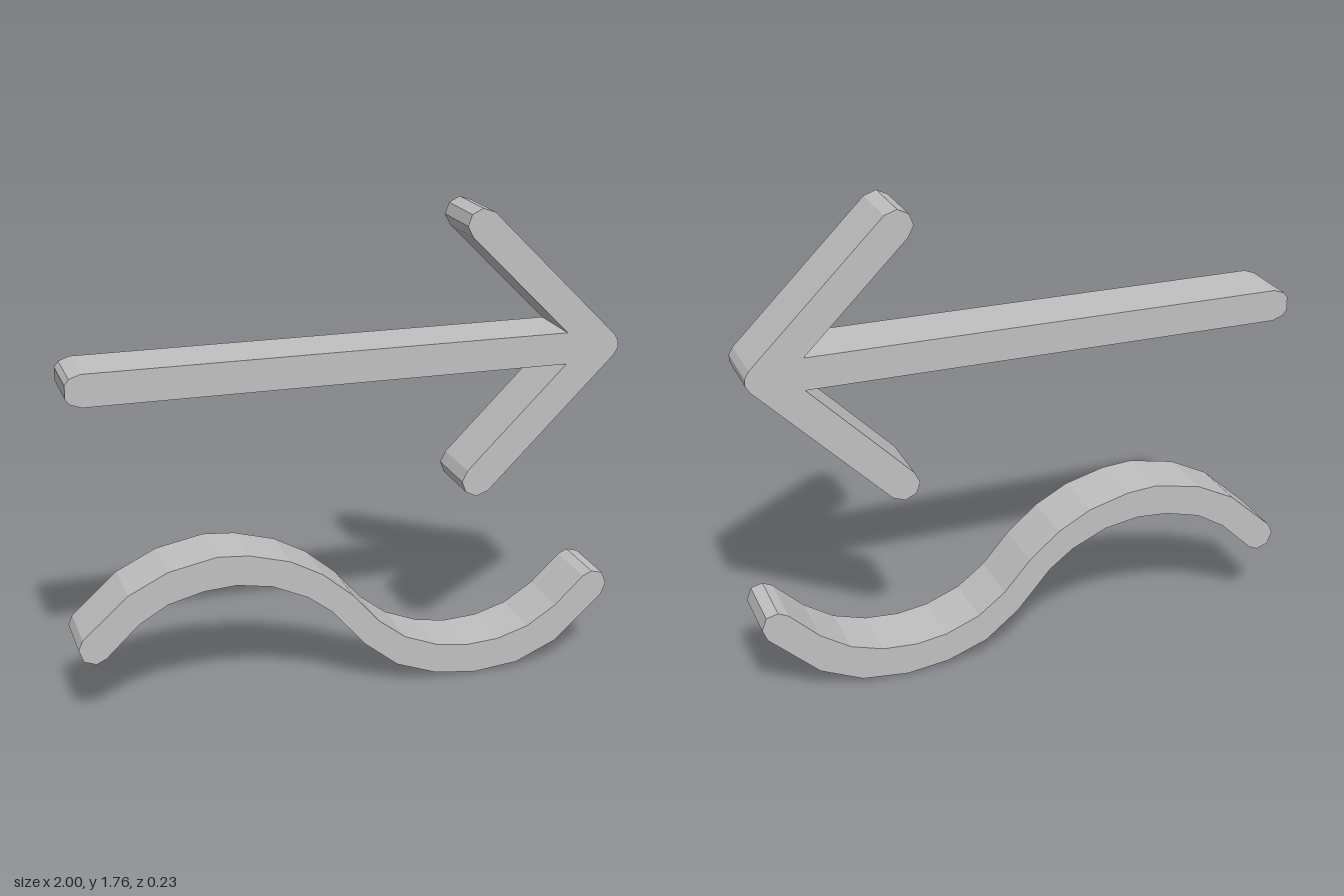
import * as THREE from 'three';

const DEPTH = 0.23;

// Flat outline pushed out evenly to the front and back
function slab(name, points, material) {
  const shape = new THREE.Shape(points.map(([x, y]) => new THREE.Vector2(x, y)));
  const geometry = new THREE.ExtrudeGeometry(shape, { depth: DEPTH, bevelEnabled: false });
  geometry.translate(0, 0, -DEPTH / 2);
  const mesh = new THREE.Mesh(geometry, material);
  mesh.name = name;
  return mesh;
}

export function createModel() {
  const group = new THREE.Group();
  group.name = 'arrowAndWave';
  const grey = new THREE.MeshStandardMaterial({ color: 0xc0c0c0, flatShading: true });
  grey.name = 'light grey';

  // Arrow: upper half from tail to tip, mirrored about its axis
  const axis = 1.238;
  const half = [
    [-1, 0.024], [-0.985, 0.044], [-0.945, 0.058], [0.8, 0.058],
    [0.43, 0.427], [0.41, 0.467], [0.425, 0.507], [0.465, 0.527], [0.51, 0.511],
    [0.985, 0.038], [1, 0.012],
  ];
  const arrow = [
    ...half.map(([x, y]) => [x, axis + y]),
    ...half.map(([x, y]) => [x, axis - y]).reverse(),
  ];
  group.add(slab('arrow', arrow, grey));

  // Wave: upper edge with the right end cap, then lower edge with the left end cap
  const wave = [
    [-0.985, 0.335], [-0.82, 0.483], [-0.675, 0.555], [-0.5, 0.59], [-0.385, 0.581],
    [-0.235, 0.54], [-0.115, 0.475], [0, 0.378], [0.098, 0.265], [0.2, 0.187],
    [0.325, 0.138], [0.44, 0.121], [0.565, 0.129], [0.685, 0.165], [0.795, 0.235],
    [0.905, 0.34], [0.94, 0.356], [0.983, 0.345], [1, 0.3], [0.983, 0.258],
    [0.8, 0.09], [0.645, 0.022], [0.475, 0.005], [0.32, 0.025], [0.17, 0.08],
    [0.045, 0.18], [-0.08, 0.325], [-0.17, 0.393], [-0.3, 0.452], [-0.43, 0.474],
    [-0.55, 0.466], [-0.68, 0.432], [-0.785, 0.37], [-0.905, 0.255],
    [-0.94, 0.239], [-0.983, 0.255], [-1, 0.3],
  ];
  group.add(slab('wave', wave, grey));

  return group;
}
